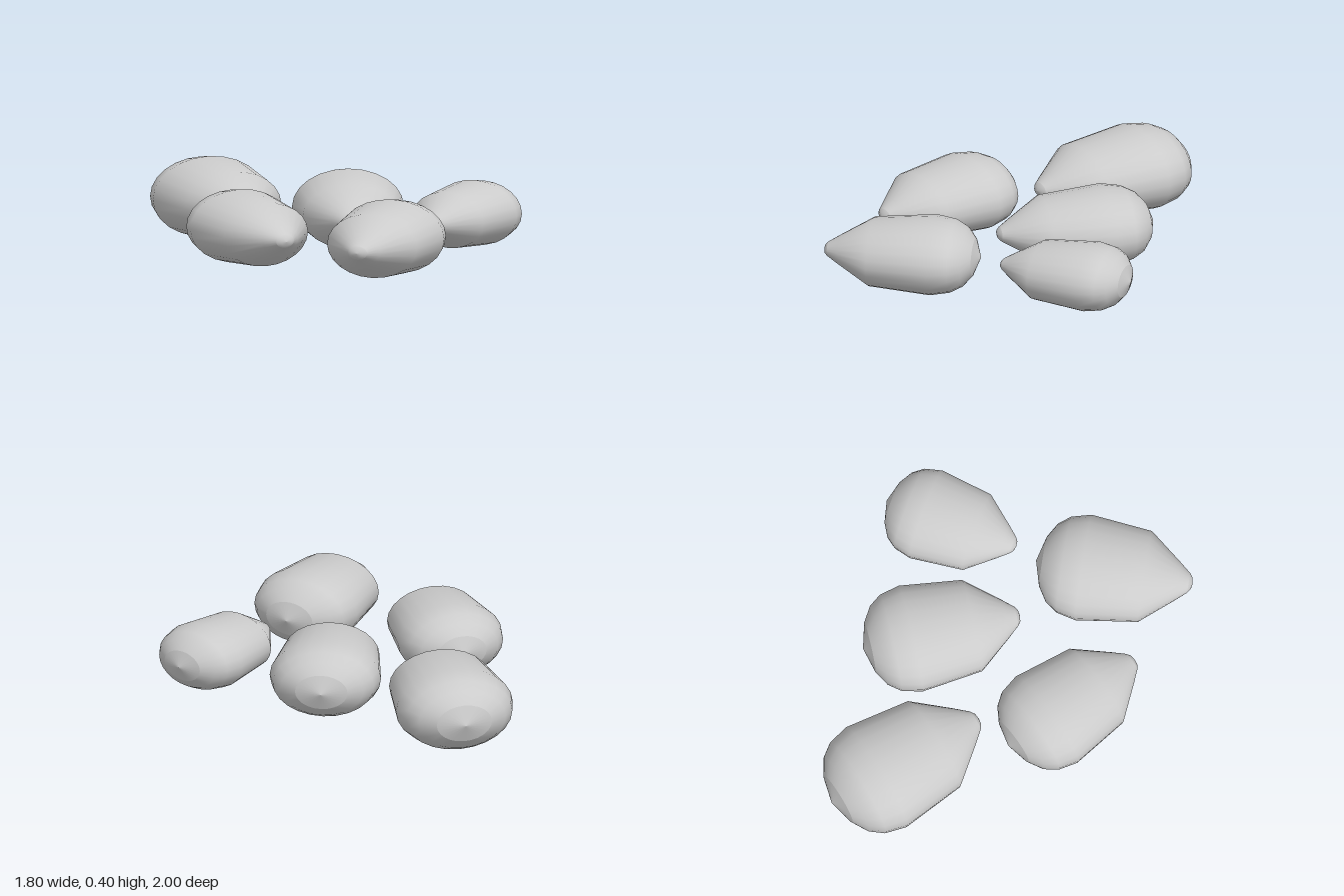
import * as THREE from 'three';
import { mergeGeometries } from 'three/addons/utils/BufferGeometryUtils.js';

// Each section is [radius, distance along the pebble]; splitting keeps the two end caps crisp.
const BACK_CAP = [[0, -0.55], [0.13, -0.515]];
const BODY = [[0.13, -0.515], [0.205, -0.47], [0.25, -0.41], [0.275, -0.31], [0.237, 0], [0.1, 0.165], [0.05, 0.222]];
const TIP_CAP = [[0.05, 0.222], [0.03, 0.236], [0, 0.241]];

// Flattened teardrop pointing along +z
function pebbleGeometry() {
  const parts = [BACK_CAP, BODY, TIP_CAP].map((profile) =>
    new THREE.LatheGeometry(profile.map(([r, d]) => new THREE.Vector2(r, d)), 24));
  const geometry = mergeGeometries(parts);
  geometry.rotateX(Math.PI / 2);
  geometry.scale(1, 0.68, 1);
  return geometry;
}

// Shoulder centre x and z, turn in degrees, size
const PEBBLES = [
  { name: 'backRightPebble', x: -0.512, z: -0.44, turn: 18.6, size: 1.07 },
  { name: 'middlePebble', x: 0.052, z: -0.12, turn: 0, size: 1 },
  { name: 'leftPebble', x: 0.523, z: 0.01, turn: -33.3, size: 0.86 },
  { name: 'frontRightPebble', x: -0.39, z: 0.405, turn: 23.2, size: 0.97 },
  { name: 'frontLeftPebble', x: 0.115, z: 0.765, turn: -21.6, size: 0.985 },
];

export function createModel() {
  const group = new THREE.Group();
  group.name = 'pebbles';
  const geometry = pebbleGeometry();
  const material = new THREE.MeshStandardMaterial({ color: 0xcccccc });
  for (const { name, x, z, turn, size } of PEBBLES) {
    const pebble = new THREE.Mesh(geometry, material);
    pebble.name = name;
    pebble.position.set(x, 0.2, z);
    pebble.rotation.y = THREE.MathUtils.degToRad(turn);
    pebble.scale.setScalar(size);
    group.add(pebble);
  }
  return group;
}
